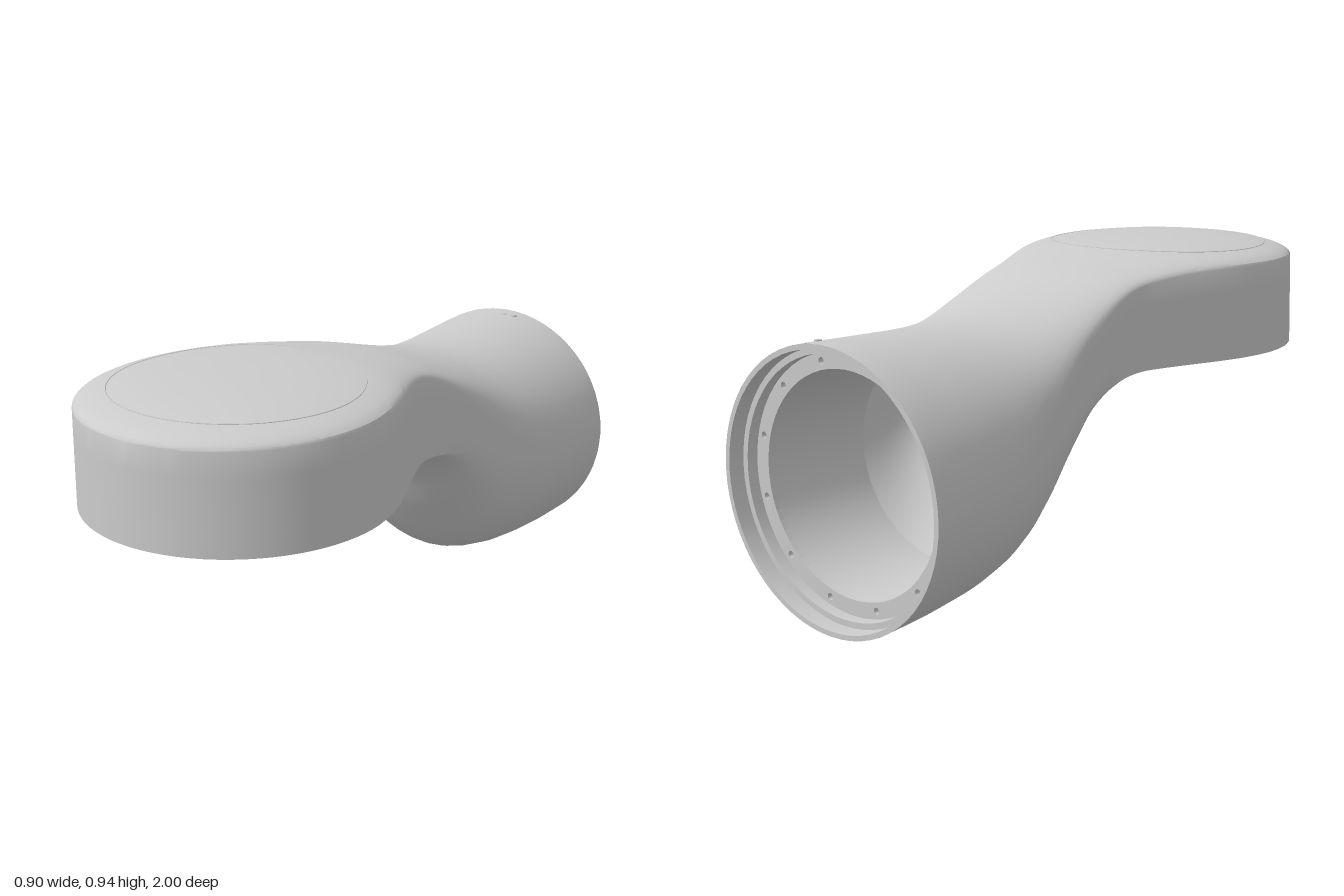
import * as THREE from 'three';
import { toCreasedNormals } from 'three/addons/utils/BufferGeometryUtils.js';

const HEAD_Z = 0.545, HEAD_R = 0.452, HEAD_LEN = 0.455, AXIS_Y = 0.4;

// Section stations: z, half width, wall foot, underside, shoulder, crown
const STATIONS = [
  [-1, 0.4, 0.4, 0, 0.4, 0.8],
  [-0.8, 0.39, 0.4, 0.008, 0.41, 0.793],
  [-0.6, 0.365, 0.41, 0.03, 0.46, 0.786],
  [-0.45, 0.335, 0.45, 0.09, 0.55, 0.793],
  [-0.3, 0.31, 0.52, 0.28, 0.67, 0.82],
  [-0.2, 0.297, 0.555, 0.44, 0.74, 0.845],
  [-0.05, 0.288, 0.582, 0.57, 0.82, 0.885],
  [0.05, 0.297, 0.59, 0.59, 0.85, 0.905],
  [0.2, 0.352, 0.59, 0.59, 0.87, 0.93],
  [0.3, 0.395, 0.59, 0.59, 0.876, 0.939],
  [0.42, 0.435, 0.59, 0.59, 0.878, 0.944],
  [HEAD_Z, HEAD_R, 0.59, 0.59, 0.877, 0.945],
];

// Smooth (Hermite) interpolation of the stations; round nose past the head centre
function sectionAt(z) {
  const last = STATIONS.length - 1;
  if (z >= HEAD_Z) {
    const k = Math.sqrt(Math.max(0, 1 - ((z - HEAD_Z) / HEAD_LEN) ** 2));
    return { w: HEAD_R * k, foot: 0.59, under: 0.59, shoulder: 0.877, crown: 0.877 + 0.068 * k };
  }
  let i = 0;
  while (i < last - 1 && z > STATIONS[i + 1][0]) i++;
  const slope = (n, c) => {
    if (n === 0 || n === last) return 0;
    const a = STATIONS[n - 1], b = STATIONS[n + 1];
    return (b[c] - a[c]) / (b[0] - a[0]);
  };
  const p = STATIONS[i], q = STATIONS[i + 1], h = q[0] - p[0], t = (z - p[0]) / h;
  const v = [1, 2, 3, 4, 5].map((c) =>
    (2 * t ** 3 - 3 * t * t + 1) * p[c] + (t ** 3 - 2 * t * t + t) * h * slope(i, c) +
    (3 * t * t - 2 * t ** 3) * q[c] + (t ** 3 - t * t) * h * slope(i + 1, c));
  return { w: v[1 - 1], foot: Math.min(v[1], 0.59), under: Math.min(v[2], 0.59), shoulder: v[3], crown: v[4] };
}

// Width at the shoulder, slightly drafted inwards
const domeWidth = (s) => s.w * (1 - 0.07 * (s.shoulder - s.foot));

// Closed ring: underside centre -> +x wall -> crown -> -x wall
const LOW = 10, WALL = 4, DOME = 12, HALF = LOW + WALL + DOME;
function ringAt(z) {
  const s = sectionAt(z), wd = domeWidth(s), pts = [];
  for (let j = 0; j <= HALF; j++) {
    if (j <= LOW) {
      const a = (j / LOW) * Math.PI / 2;
      pts.push([s.w * Math.sin(a), s.foot - (s.foot - s.under) * Math.cos(a)]);
    } else if (j <= LOW + WALL) {
      const t = (j - LOW) / WALL;
      pts.push([s.w + (wd - s.w) * t, s.foot + (s.shoulder - s.foot) * t]);
    } else {
      const a = ((j - LOW - WALL) / DOME) * Math.PI / 2;
      pts.push([wd * Math.cos(a), s.shoulder + (s.crown - s.shoulder) * Math.sin(a)]);
    }
  }
  for (let j = HALF - 1; j > 0; j--) pts.push([-pts[j][0], pts[j][1]]);
  return pts;
}

// Outer skin, left open beneath the head
function shellGeometry() {
  const zs = [];
  for (let i = 0; i <= 42; i++) zs.push(-1 + i * 0.025);
  for (let i = 1; i <= 18; i++) zs.push(0.05 + (HEAD_Z - 0.05) * i / 18);
  for (let i = 1; i <= 20; i++) zs.push(HEAD_Z + HEAD_LEN * Math.sin(i / 20 * Math.PI / 2));
  const n = HALF * 2, pos = [], idx = [];
  zs.forEach((z, i) => {
    ringAt(z).forEach(([x, y]) => pos.push(x, y, z));
    if (i === zs.length - 1) return;
    for (let j = 0; j < n; j++) {
      const isUnderside = j < LOW || j >= n - LOW;
      if (isUnderside && z > 0.049) continue;
      const k = (j + 1) % n, a = i * n + j, b = i * n + k;
      idx.push(a, b, a + n, b, b + n, a + n);
    }
  });
  const g = new THREE.BufferGeometry();
  g.setAttribute('position', new THREE.Float32BufferAttribute(pos, 3));
  g.setIndex(idx);
  return toCreasedNormals(g, 0.5);
}

function lathe(profile) {
  const pts = profile.map(([r, y]) => new THREE.Vector2(r, y));
  return toCreasedNormals(new THREE.LatheGeometry(pts, 64), 0.5);
}

// Flat ring drilled with evenly spaced bolt holes
function drilledRing(rOut, rIn, count, holeR, depth) {
  const shape = new THREE.Shape().absarc(0, 0, rOut, 0, Math.PI * 2);
  shape.holes.push(new THREE.Path().absarc(0, 0, rIn, 0, Math.PI * 2, true));
  const r = (rOut + rIn) / 2;
  for (let i = 0; i < count; i++) {
    const a = (i + 0.5) / count * Math.PI * 2;
    shape.holes.push(new THREE.Path().absarc(r * Math.cos(a), r * Math.sin(a), holeR, 0, Math.PI * 2, true));
  }
  return new THREE.ExtrudeGeometry(shape, { depth, bevelEnabled: false, curveSegments: 32 });
}

export function createModel() {
  const group = new THREE.Group();
  const material = new THREE.MeshStandardMaterial({ color: 0xcccccc, side: THREE.DoubleSide });
  const add = (name, geometry, x = 0, y = 0, z = 0, parent = group) => {
    const mesh = new THREE.Mesh(geometry, material);
    mesh.name = name;
    mesh.position.set(x, y, z);
    parent.add(mesh);
    return mesh;
  };

  add('outerShell', shellGeometry());

  // Flat underside around the head opening
  const outline = [];
  for (let i = 0; i <= 20; i++) {
    const z = 0.05 + (HEAD_Z - 0.05) * i / 20;
    outline.push(new THREE.Vector2(sectionAt(z).w, z));
  }
  for (let i = 1; i <= 20; i++) {
    const a = i / 20 * Math.PI / 2;
    outline.push(new THREE.Vector2(HEAD_R * Math.cos(a), HEAD_Z + HEAD_LEN * Math.sin(a)));
  }
  const mirrored = outline.slice(0, -1).reverse().map((p) => new THREE.Vector2(-p.x, p.y));
  const plate = new THREE.Shape([...outline, ...mirrored]);
  plate.holes.push(new THREE.Path().absarc(0, HEAD_Z, 0.435, 0, Math.PI * 2, true));
  add('headRim', new THREE.ShapeGeometry(plate, 32).rotateX(Math.PI / 2), 0, 0.59, 0);

  // Head socket: wall, drilled ledge, inner collar with tabs
  add('headSocketWall', lathe([[0.435, 0.59], [0.432, 0.7]]), 0, 0, HEAD_Z);
  add('headFlange', drilledRing(0.433, 0.37, 12, 0.011, 0.025).rotateX(-Math.PI / 2), 0, 0.7, HEAD_Z);
  add('headCollar', lathe([[0.37, 0.7], [0.37, 0.77], [0.385, 0.77], [0.385, 0.81]]), 0, 0, HEAD_Z);
  const tabs = new THREE.Group();
  tabs.name = 'collarTabs';
  for (let i = 0; i < 8; i++) {
    const a = i / 8 * Math.PI * 2;
    const tab = add('collarTab', new THREE.BoxGeometry(0.03, 0.04, 0.04),
      0.365 * Math.cos(a), 0.76, HEAD_Z + 0.365 * Math.sin(a), tabs);
    tab.rotation.y = -a;
  }
  group.add(tabs);

  // Barrel socket: stepped mouth, drilled flange, bore
  const mouth = lathe([[0.4, -1], [0.385, -1], [0.385, -0.95], [0.367, -0.95], [0.367, -0.915]]);
  add('barrelMouth', mouth.rotateX(Math.PI / 2), 0, AXIS_Y, 0);
  add('barrelFlange', drilledRing(0.368, 0.32, 12, 0.01, 0.03), 0, AXIS_Y, -0.915);
  add('barrelBore', lathe([[0.32, -0.9], [0.315, -0.55]]).rotateX(Math.PI / 2), 0, AXIS_Y, 0);

  // Lid seam following the dome
  const seamPoints = [];
  for (let i = 0; i < 48; i++) {
    const a = i / 48 * Math.PI * 2, x = 0.357 * Math.cos(a), z = HEAD_Z + 0.357 * Math.sin(a);
    const s = sectionAt(z), k = Math.sqrt(Math.max(0, 1 - (x / domeWidth(s)) ** 2));
    seamPoints.push(new THREE.Vector3(x, s.shoulder + (s.crown - s.shoulder) * k, z));
  }
  const seam = new THREE.CatmullRomCurve3(seamPoints, true);
  add('lidSeam', new THREE.TubeGeometry(seam, 96, 0.002, 6, true));

  // Pair of small marker pins above the barrel mouth
  for (const x of [0.02, 0.06]) {
    add('markerPin', new THREE.CylinderGeometry(0.01, 0.01, 0.01, 16), x, 0.794, -0.95);
  }
  return group;
}
